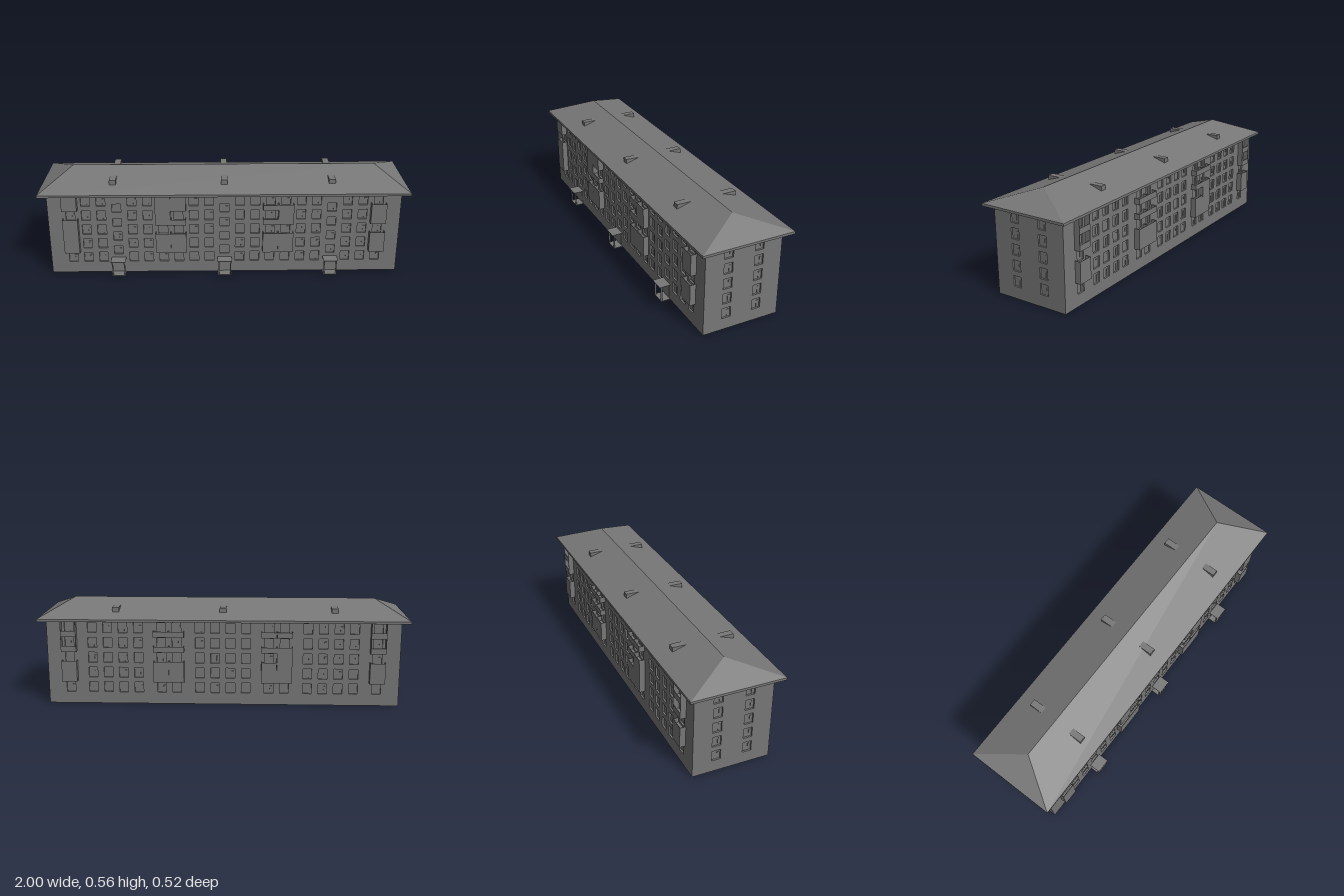
import * as THREE from 'three';
import { mergeGeometries } from 'three/addons/utils/BufferGeometryUtils.js';

const mat = new THREE.MeshStandardMaterial({ color: 0x777777, flatShading: true, side: THREE.DoubleSide });

const STEP = 0.0835;                       // column and storey spacing
const EAVE = 0.465, HALF = 0.957;
const FRONT = 0.2, BACK = -0.22, MID = -0.01;
const RECESS = 0.009;
const ENTRIES = [-7 * STEP, 0, 7 * STEP];

// Box geometry from min and max corners
function block(x0, x1, y0, y1, z0, z1) {
  return new THREE.BoxGeometry(x1 - x0, y1 - y0, z1 - z0)
    .translate((x0 + x1) / 2, (y0 + y1) / 2, (z0 + z1) / 2);
}

// Window niche: a box without its outer (+z) face
function niche(l, r, b, t) {
  const geo = block(l, r, b, t, -RECESS, 0);
  const index = Array.from(geo.index.array);
  index.splice(24, 6);
  geo.setIndex(index);
  return geo;
}

function add(parent, name, parts) {
  const geo = Array.isArray(parts) ? mergeGeometries(parts) : parts;
  const mesh = new THREE.Mesh(geo, mat);
  mesh.name = name;
  parent.add(mesh);
}

// Thin wall facing local +z with punched openings, niches and casement bars
function makeWall(name, halfWidth, openings) {
  const group = new THREE.Group();
  group.name = name;
  const shape = new THREE.Shape();
  shape.moveTo(-halfWidth, 0).lineTo(halfWidth, 0).lineTo(halfWidth, EAVE).lineTo(-halfWidth, EAVE).closePath();
  const niches = [], bars = [];
  for (const { x, y, w, h } of openings) {
    const l = x - w / 2, r = x + w / 2, b = y - h / 2, t = y + h / 2;
    const hole = new THREE.Path();
    hole.moveTo(l, b).lineTo(l, t).lineTo(r, t).lineTo(r, b).closePath();
    shape.holes.push(hole);
    niches.push(niche(l, r, b, t));
    bars.push(block(x + w * 0.14, x + w * 0.18, b + 0.005, t - 0.016, -RECESS, -0.007));
    bars.push(block(x + w * 0.18, r - 0.006, t - 0.018, t - 0.016, -RECESS, -0.007));
  }
  add(group, name + 'Masonry', new THREE.ShapeGeometry(shape));
  add(group, name + 'Windows', niches);
  add(group, name + 'CasementBars', bars);
  return group;
}

// One window for each of the five storeys
function column(x) {
  return [0, 1, 2, 3, 4].map(i => ({ x, y: 0.093 + i * STEP, w: 0.048, h: 0.057 }));
}

// Balcony column, bottom storey first:
// 'c' is glazed in, 'o' open with a parapet, 's' open with full-height side screens
function makeBalcony(name, x, pattern) {
  const parts = [], hw = 0.0415, t = 0.003, rail = 0.032, depth = 0.031;
  [...pattern].forEach((kind, i) => {
    const y0 = 0.13 + i * STEP, y1 = y0 + STEP;
    if (kind === 'c') {
      parts.push(block(x - hw, x + hw, y0, y1, 0, depth));
      return;
    }
    parts.push(block(x - hw, x + hw, y0, y0 + 0.005, 0, depth));
    parts.push(block(x - hw, x + hw, y0, y0 + rail, depth - t, depth));
    for (const s of [-1, 1]) {
      const e = x + s * (hw - t / 2);
      parts.push(block(e - t / 2, e + t / 2, y0, kind === 's' ? y1 : y0 + rail, 0, depth));
    }
  });
  const group = new THREE.Group();
  add(group, name, parts);
  return group;
}

// Hipped roof on an eave slab
function makeRoof(group) {
  const z0 = -0.26, z1 = 0.24, y = 0.478;
  add(group, 'eaveSlab', block(-1, 1, EAVE, y, z0, z1));
  const p = [[-1, y, z1], [1, y, z1], [1, y, z0], [-1, y, z0], [-0.835, 0.56, MID], [0.835, 0.56, MID]];
  const faces = [0, 1, 5, 0, 5, 4, 2, 3, 4, 2, 4, 5, 1, 2, 5, 3, 0, 4];
  const geo = new THREE.BufferGeometry();
  geo.setAttribute('position', new THREE.Float32BufferAttribute(faces.flatMap(i => p[i]), 3));
  geo.computeVertexNormals();
  add(group, 'hippedRoof', geo);
  // Flat-topped roof hatches on both slopes
  for (const x of [-0.604, 0, 0.584]) {
    add(group, 'frontRoofHatch', block(x - 0.018, x + 0.018, 0.5, 0.53, 0.075, 0.157));
    add(group, 'backRoofHatch', block(x - 0.018, x + 0.018, 0.5, 0.53, -0.177, -0.095));
  }
}

// Entrance porch with step, two posts, a flat canopy and a door
function makePorch(x) {
  const group = new THREE.Group();
  group.name = 'entrancePorch';
  add(group, 'porchStep', block(x - 0.038, x + 0.038, 0, 0.004, FRONT, 0.252));
  add(group, 'porchCanopy', block(x - 0.04, x + 0.04, 0.087, 0.09, FRONT, 0.261));
  for (const s of [-1, 1]) {
    const c = x + s * 0.033;
    add(group, 'porchPost', block(c - 0.0035, c + 0.0035, 0.004, 0.087, 0.245, 0.252));
  }
  add(group, 'doorLeaf', block(x - 0.024, x + 0.024, 0.004, 0.07, FRONT - 0.005, FRONT + 0.002));
  return group;
}

export function createModel() {
  const model = new THREE.Group();
  model.name = 'apartmentBlock';

  // Front: regular columns, with half-landing windows above each entrance
  const front = [], back = [];
  for (let k = -10; k <= 10; k++) {
    const x = k * STEP;
    if (k % 7 !== 0) front.push(...column(x));
    else for (let i = 0; i < 4; i++) front.push({ x, y: 0.135 + i * STEP, w: 0.048, h: 0.05 });
  }
  // Back: four columns behind each entrance, plus those behind the balconies
  for (const e of ENTRIES) {
    for (const o of [-1.5, -0.5, 0.5, 1.5]) back.push(...column(e + o * STEP));
  }
  for (const k of [-10, -4, -3, 3, 4, 10]) back.push(...column(k * STEP));

  const frontWall = makeWall('frontWall', HALF, front);
  frontWall.position.z = FRONT;
  const backWall = makeWall('backWall', HALF, back);
  backWall.rotation.y = Math.PI;
  backWall.position.z = BACK;
  model.add(frontWall, backWall);

  // End walls, two window columns each
  for (const s of [-1, 1]) {
    const end = makeWall(s > 0 ? 'leftEndWall' : 'rightEndWall', 0.21, [...column(-0.084), ...column(0.084)]);
    end.rotation.y = s * Math.PI / 2;
    end.position.set(s * HALF, 0, MID);
    model.add(end);
  }

  // Balcony stacks by column number
  const frontStacks = { '-10': 'ccoc', '-4': 'cocc', '-3': 'cooc', 3: 'cooo', 4: 'coco', 10: 'coco' };
  const backStacks = { '-10': 'coss', '-4': 'ccoo', '-3': 'cooo', 3: 'cooo', 4: 'cooo', 10: 'coss' };
  for (const [k, pattern] of Object.entries(frontStacks)) {
    const b = makeBalcony('frontBalconyStack', k * STEP, pattern);
    b.position.z = FRONT;
    model.add(b);
  }
  for (const [k, pattern] of Object.entries(backStacks)) {
    const b = makeBalcony('backBalconyStack', -k * STEP, pattern);
    b.rotation.y = Math.PI;
    b.position.z = BACK;
    model.add(b);
  }

  for (const x of ENTRIES) model.add(makePorch(x));
  makeRoof(model);
  return model;
}
